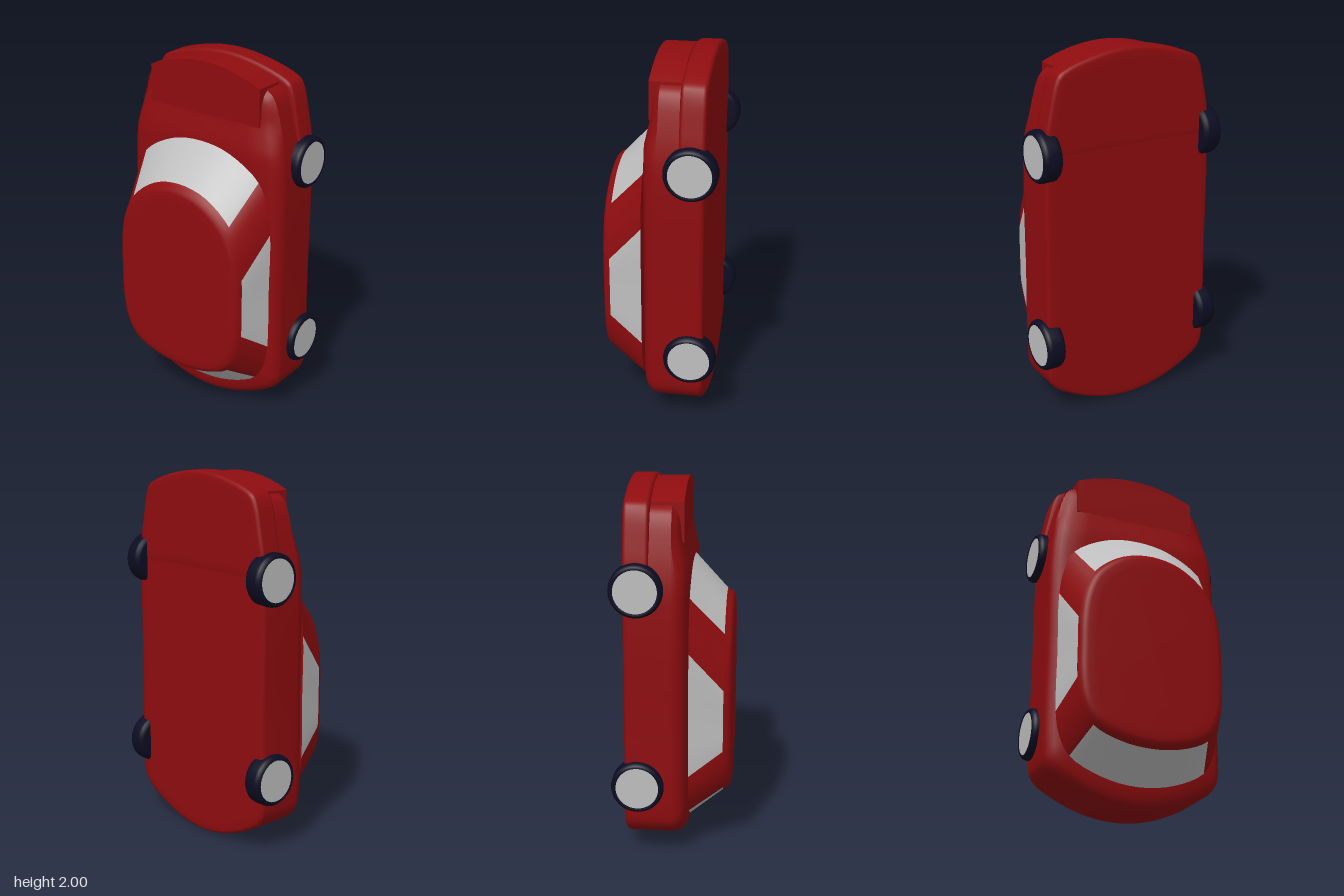
import * as THREE from 'three';

const paint = new THREE.MeshStandardMaterial({ color: 0x8e0c0f });
paint.name = 'red paint';
const silver = new THREE.MeshStandardMaterial({ color: 0xbfbfbf });
silver.name = 'silver glass and hubs';
const rubber = new THREE.MeshStandardMaterial({ color: 0x0c0c22 });
rubber.name = 'dark rubber';

const STEPS = 4; // columns per outline point

// Mirrors half an outline (front centre to rear centre) and smooths it into a loop
function outline(half) {
  const mirrored = half.slice(1, -1).reverse().map(([x, y]) => [-x, y]);
  const pts = [...half, ...mirrored].map(([x, y]) => new THREE.Vector3(x, y, 0));
  const curve = new THREE.CatmullRomCurve3(pts, true);
  const n = pts.length * STEPS;
  return Array.from({ length: n }, (_, k) => curve.getPoint(k / n));
}

// Copies a loop to height z, pulled in by about d on every side
function ring(loop, z, d, halfX, halfY, midY) {
  return loop.map((p) => new THREE.Vector3(
    p.x * (1 - d / halfX), midY + (p.y - midY) * (1 - d / halfY), z));
}

// Skins rings from back to front and caps both ends; keep(i, j) selects cells, -1 being the caps
function loft(rings, keep = () => true) {
  const n = rings[0].length;
  const last = (rings.length - 1) * n;
  const pts = rings.flat();
  const centre = (r) => r.reduce((s, p) => s.add(p), new THREE.Vector3()).divideScalar(n);
  pts.push(centre(rings[0]), centre(rings[rings.length - 1]));
  const all = [], kept = [];
  const add = (i, j, ...tris) => {
    all.push(...tris);
    if (keep(i, j)) kept.push(...tris);
  };
  for (let j = 0; j < n; j++) {
    const k = (j + 1) % n;
    for (let i = 0; i < rings.length - 1; i++) {
      const a = i * n + j, b = i * n + k;
      add(i, j, a, a + n, b, b, a + n, b + n);
    }
    add(-1, j, pts.length - 2, j, k, pts.length - 1, last + k, last + j);
  }
  const g = new THREE.BufferGeometry().setFromPoints(pts);
  g.setIndex(all);
  g.computeVertexNormals();
  g.setIndex(kept);
  return g;
}

export function createModel() {
  const car = new THREE.Group();
  car.name = 'car';
  const add = (name, geometry, material) => {
    const mesh = new THREE.Mesh(geometry, material);
    mesh.name = name;
    car.add(mesh);
    return mesh;
  };

  // Lower body: rounded shell with a crowned top that dips at the bonnet
  const bodyLoop = outline([[0, 1.96], [0.2, 1.94], [0.36, 1.888], [0.405, 1.85], [0.455, 1.7],
    [0.49, 1.52], [0.5, 1.35], [0.5, 0.8], [0.5, 0.25], [0.485, 0.19], [0.44, 0.14], [0.22, 0.035], [0, 0]]);
  const bodySteps = [[-0.245, 0.06], [-0.245, 0.02], [-0.237, 0.005], [-0.22, 0], [0, 0], [0.03, 0.006],
    [0.055, 0.022], [0.07, 0.045], [0.08, 0.08], [0.089, 0.13]];
  for (let d = 0.17; d < 0.47; d += 0.04) bodySteps.push([0.09, d]);
  const bodyRings = bodySteps.map(([z, d]) => ring(bodyLoop, z, d, 0.5, 1, 1));
  for (const p of bodyRings.flat()) {
    if (p.z > 0.02) p.z -= 0.034 * THREE.MathUtils.clamp((p.y - 1.56) / 0.16, 0, 1);
  }
  add('body', loft(bodyRings), paint);

  // Front bumper wrapping the lower nose
  const bumperLoop = outline([[0, 2], [0.2, 1.977], [0.39, 1.917], [0.425, 1.885], [0.468, 1.72],
    [0.492, 1.56], [0.47, 1.48], [0.2, 1.47], [0, 1.47]]);
  const bumperRings = [[-0.246, 0.06], [-0.246, 0.02], [-0.238, 0.005], [-0.225, 0], [-0.13, 0],
    [-0.118, 0.005], [-0.11, 0.02], [-0.11, 0.06]].map(([z, d]) => ring(bumperLoop, z, d, 0.49, 0.26, 1.74));
  add('frontBumper', loft(bumperRings), paint);

  // Bonnet panel standing proud of the rounded nose
  const panel = new THREE.Shape();
  panel.moveTo(-0.355, 1.7);
  panel.lineTo(0.355, 1.7);
  panel.lineTo(0.355, 1.905);
  panel.quadraticCurveTo(0, 2.065, -0.355, 1.905);
  panel.closePath();
  const bonnet = new THREE.ExtrudeGeometry(panel, { depth: 0.17, bevelEnabled: false, curveSegments: 24 });
  bonnet.translate(0, 0, -0.11);
  add('bonnet', bonnet, paint);

  // Cabin: matching outlines at the waist and the top of the glass, then a rounded roof
  const waist = outline([[0, 1.56], [0.19, 1.53], [0.38, 1.415], [0.435, 1.29], [0.46, 1.14], [0.46, 0.8],
    [0.46, 0.46], [0.44, 0.34], [0.38, 0.23], [0.2, 0.14], [0, 0.11]]);
  const eaves = outline([[0, 1.37], [0.17, 1.335], [0.325, 1.215], [0.385, 1.09], [0.41, 0.93], [0.412, 0.76],
    [0.41, 0.59], [0.385, 0.45], [0.32, 0.345], [0.17, 0.28], [0, 0.26]]);
  const base = ring(waist, 0.09, 0, 1, 1, 0.8);
  const cabinRings = [base, base, // doubled for a sharp lower edge
    ...[[0.27, 0], [0.292, 0.01], [0.305, 0.024], [0.312, 0.045], [0.313, 0.09], [0.313, 0.2]]
      .map(([z, d]) => ring(eaves, z, d, 0.41, 0.555, 0.815))];
  const columns = base.length;
  // Each window spans a run of outline points
  const windows = { windscreen: [-2, 2], leftWindow: [4, 6], rearWindow: [8, 12], rightWindow: [14, 16] };
  const inWindow = ([from, to]) => (i, j) => {
    const span = (j - from * STEPS + columns) % columns;
    return i === 1 && span < (to - from) * STEPS;
  };
  const tests = Object.values(windows).map(inWindow);
  add('cabin', loft(cabinRings, (i, j) => !tests.some((t) => t(i, j))), paint);
  for (const [name, span] of Object.entries(windows)) {
    add(name, loft(cabinRings, inWindow(span)), silver);
  }

  // Wheels: rounded tyres with a plain hub disc
  const profile = [[0, 0], [0.115, 0], [0.13, 0.006], [0.138, 0.018], [0.14, 0.03], [0.14, 0.08],
    [0.137, 0.094], [0.128, 0.105], [0.117, 0.11], [0.112, 0.102], [0, 0.102]];
  const tyre = new THREE.LatheGeometry(profile.map(([r, h]) => new THREE.Vector2(r, h)), 40);
  const hub = new THREE.CylinderGeometry(0.113, 0.113, 0.006, 40);
  hub.translate(0, 0.102, 0);
  for (const side of [1, -1]) {
    for (const [end, y] of [['front', 1.48], ['rear', 0.415]]) {
      const wheel = new THREE.Group();
      wheel.name = `${end}${side > 0 ? 'Left' : 'Right'}Wheel`;
      for (const [name, g, m] of [['tyre', tyre, rubber], ['hub', hub, silver]]) {
        const mesh = new THREE.Mesh(g, m);
        mesh.name = name;
        wheel.add(mesh);
      }
      wheel.rotation.z = -side * Math.PI / 2;
      wheel.position.set(side * 0.43, y, -0.175);
      car.add(wheel);
    }
  }
  return car;
}
